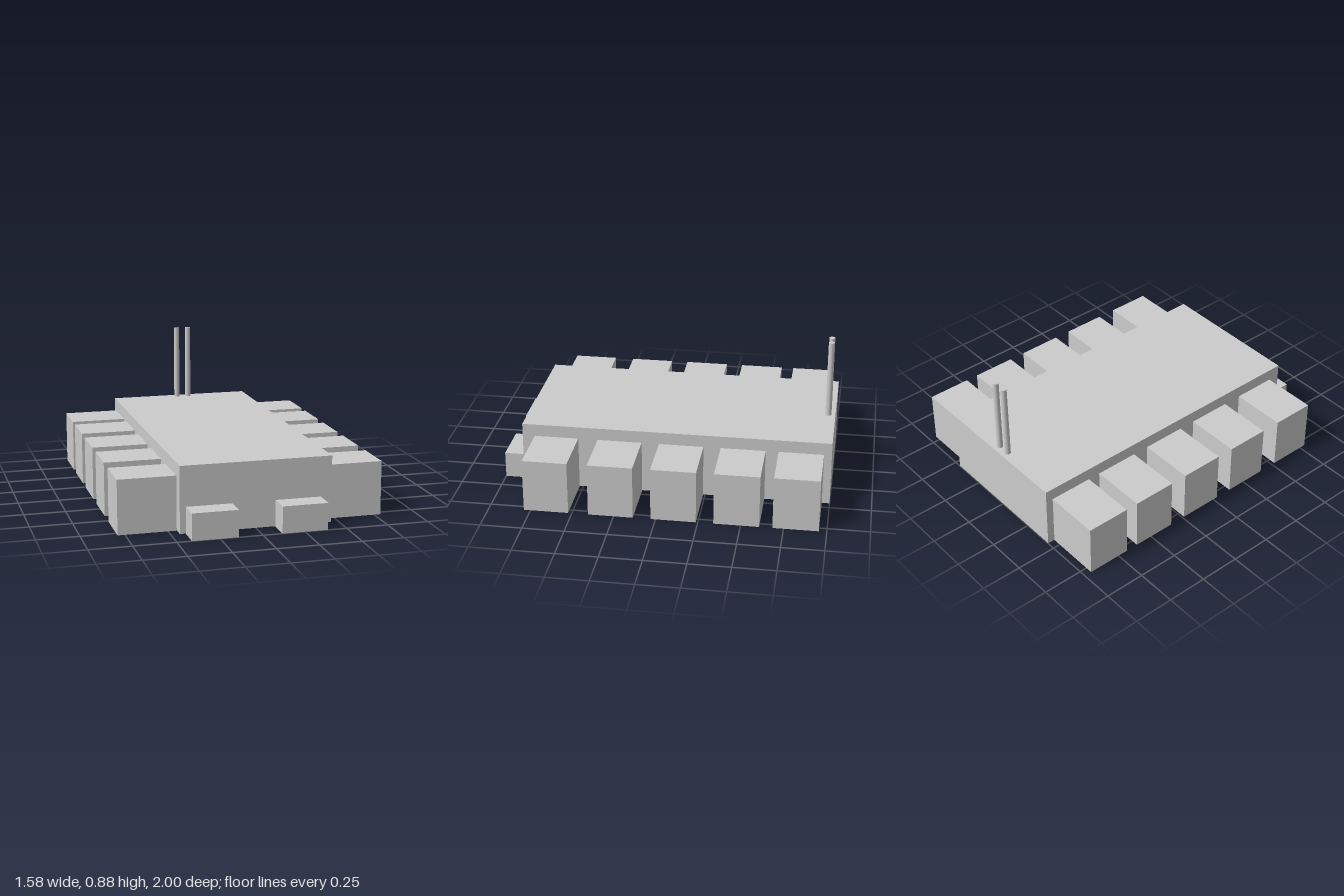
import * as THREE from 'three';

const material = new THREE.MeshStandardMaterial({ color: 0xcccccc, side: THREE.DoubleSide });
const FACES = ['+x', '-x', '+y', '-y', '+z', '-z'];

// Thin-walled box between two corners, with the listed faces left open
function openBox(name, [x0, y0, z0], [x1, y1, z1], open) {
  const geometry = new THREE.BoxGeometry(x1 - x0, y1 - y0, z1 - z0);
  geometry.translate((x0 + x1) / 2, (y0 + y1) / 2, (z0 + z1) / 2);
  const all = Array.from(geometry.index.array);
  geometry.setIndex(all.filter((_, i) => !open.includes(FACES[Math.floor(i / 6)])));
  geometry.clearGroups();
  const mesh = new THREE.Mesh(geometry, material);
  mesh.name = name;
  return mesh;
}

export function createModel() {
  const model = new THREE.Group();
  model.name = 'building';

  // Main hall, open underneath
  model.add(openBox('mainHall', [-0.45, 0.003, -1], [0.453, 0.4, 0.865], ['-y']));

  // Five bays along each side, open underneath and toward the hall, sunk slightly into its walls
  for (const z of [-0.82, -0.475, -0.104, 0.269, 0.656]) {
    model.add(openBox('leftBay', [0.433, 0, z - 0.134], [0.788, 0.325, z + 0.134], ['-y', '-x']));
    model.add(openBox('rightBay', [-0.793, 0, z - 0.134], [-0.43, 0.325, z + 0.134], ['-y', '+x']));
  }

  // Two low porches at the front
  for (const x of [-0.278, 0.251]) {
    model.add(openBox('frontPorch', [x - 0.136, 0, 0.845], [x + 0.136, 0.16, 1], ['-y', '-z']));
  }

  // Pair of slim chimneys at the back of the roof
  for (const x of [-0.025, 0.052]) {
    const chimney = new THREE.Mesh(new THREE.CylinderGeometry(0.018, 0.018, 0.475, 32), material);
    chimney.position.set(x, 0.6375, -0.956);
    chimney.name = 'chimney';
    model.add(chimney);
  }

  return model;
}
